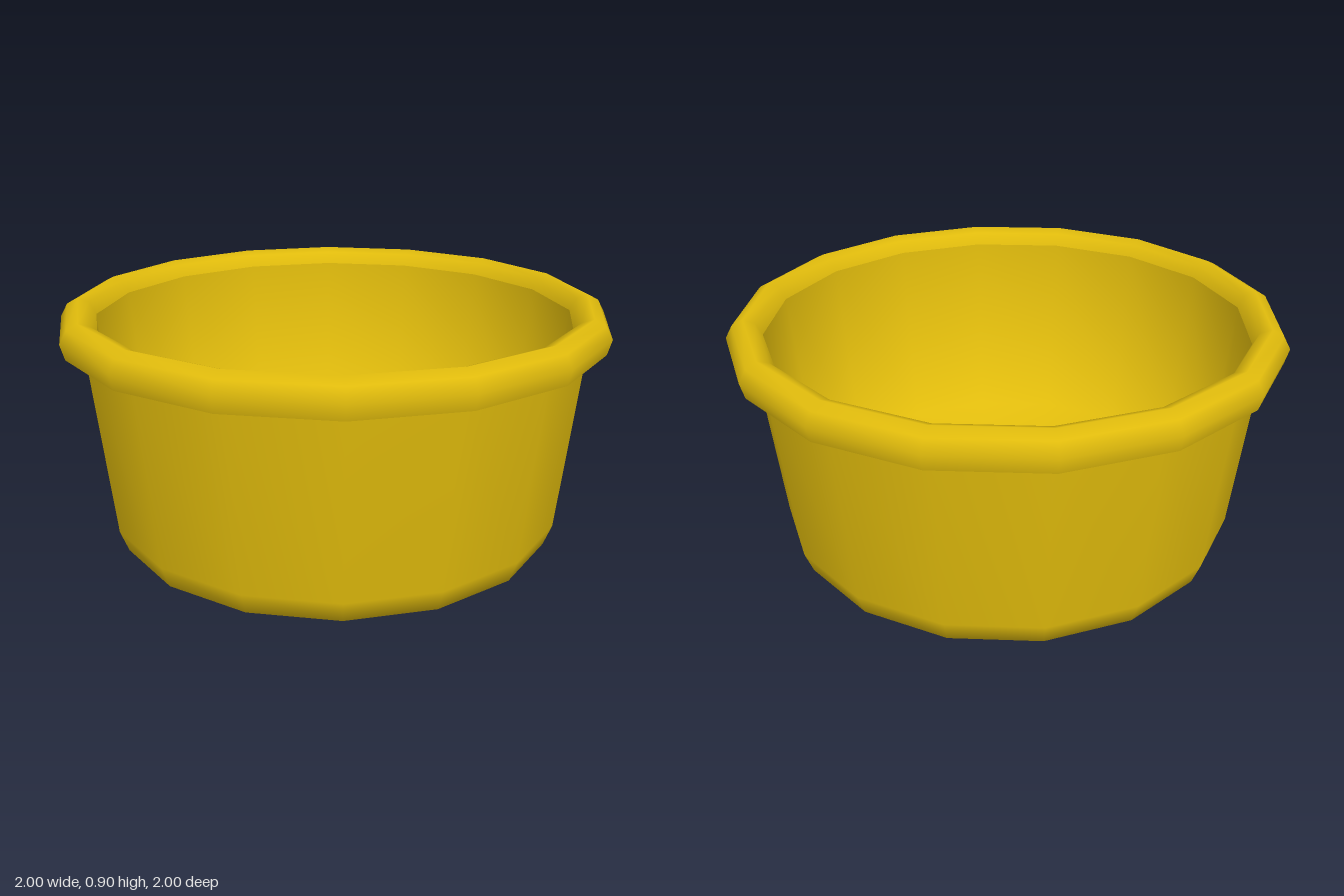
import * as THREE from 'three';

const SIDES = 16;

export function createModel() {
  const bowl = new THREE.Group();
  bowl.name = 'bowl';
  const yellow = new THREE.MeshStandardMaterial({ color: 0xe0bb0c, side: THREE.DoubleSide });
  yellow.name = 'mustardYellow';

  // Each part is a 16-sided turned profile of [radius, height] points
  const turned = (name, profile) => {
    const points = profile.map(([r, y]) => new THREE.Vector2(r, y));
    const mesh = new THREE.Mesh(new THREE.LatheGeometry(points, SIDES), yellow);
    mesh.name = name;
    bowl.add(mesh);
  };

  // Flat base with a rounded lower edge
  turned('base', [[0, 0], [0.72, 0.008]]);
  // Outer wall, flaring slightly towards the rim
  turned('outerWall', [[0.72, 0.008], [0.82, 0.04], [0.85, 0.12], [0.92, 0.8]]);
  // Underside of the overhanging lip
  turned('lipUnderside', [[0.918, 0.8], [0.985, 0.785]]);
  // Rounded rim
  turned('rim', [[0.985, 0.785], [1, 0.84], [0.975, 0.885], [0.935, 0.905], [0.895, 0.89], [0.872, 0.845]]);
  // Inner wall and floor
  turned('interior', [[0.872, 0.845], [0.8, 0.1], [0, 0.06]]);

  return bowl;
}
